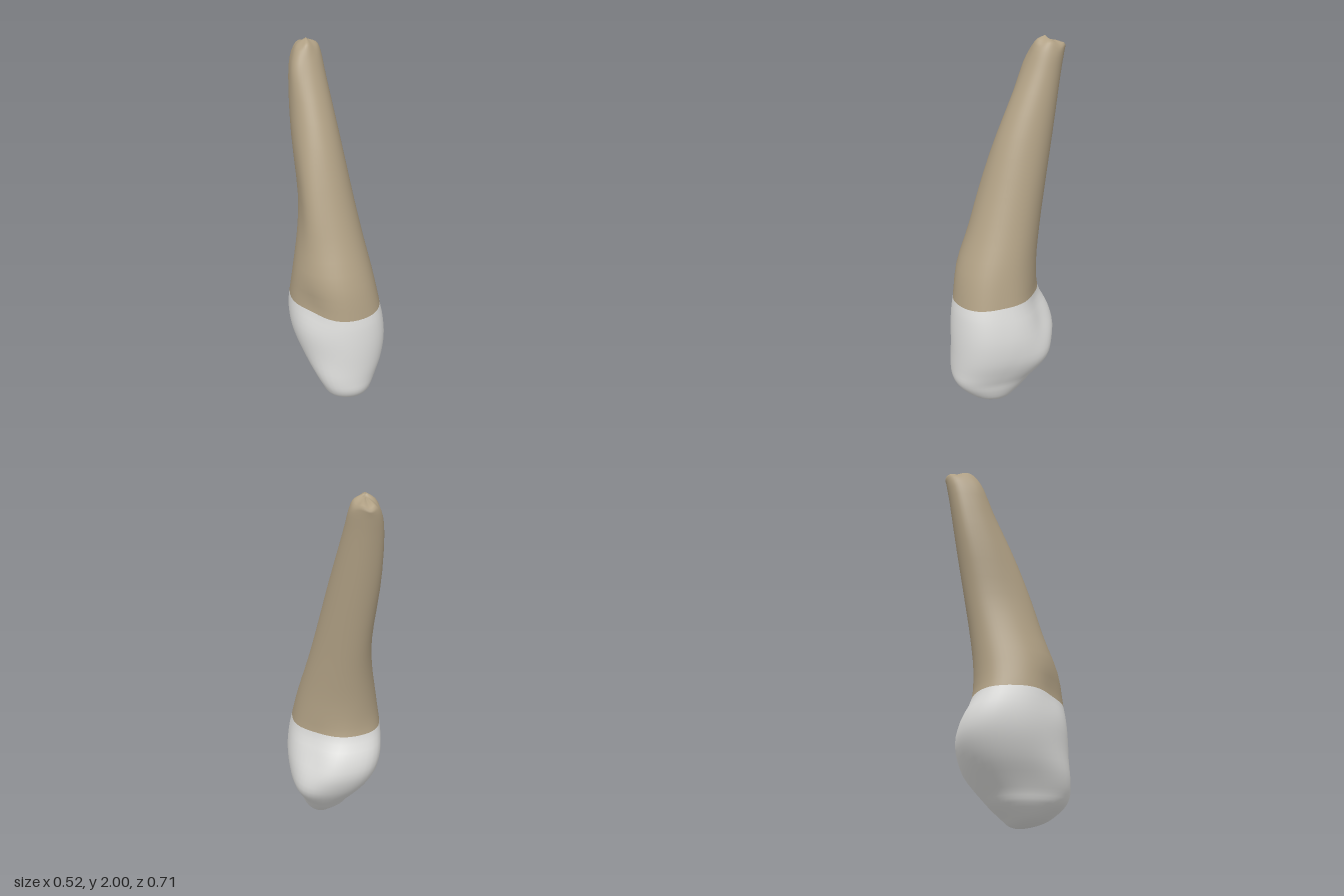
import * as THREE from 'three';

const SEG = 48, STEPS = 3, NECK = 9;

// Cross-sections from biting tip to root apex:
// y, right x, left x, back z, front z, x of the front ridge, x of the back ridge
const RINGS = [
  [0.0, 0.055, 0.07, 0.085, 0.11, 0.06, 0.06],
  [0.015, 0.01, 0.12, 0.05, 0.18, 0.06, 0.07],
  [0.045, -0.04, 0.158, 0.015, 0.255, 0.06, 0.07],
  [0.1, -0.09, 0.182, -0.05, 0.322, 0.05, 0.06],
  [0.15, -0.11, 0.195, -0.095, 0.349, 0.05, 0.06],
  [0.21, -0.142, 0.22, -0.145, 0.352, 0.045, 0.05],
  [0.3, -0.195, 0.25, -0.205, 0.352, 0.04, 0.04],
  [0.41, -0.24, 0.26, -0.24, 0.352, 0.03, 0.03],
  [0.52, -0.26, 0.25, -0.222, 0.347, 0.02, 0.0],
  [0.635, -0.257, 0.228, -0.17, 0.335, 0.01, -0.04],
  [0.8, -0.235, 0.195, -0.163, 0.3, -0.01, -0.06],
  [1.0, -0.2, 0.15, -0.185, 0.217, -0.02, -0.06],
  [1.2, -0.183, 0.11, -0.22, 0.143, -0.04, -0.07],
  [1.5, -0.198, 0.055, -0.275, 0.034, -0.07, -0.09],
  [1.8, -0.195, 0.0, -0.327, -0.107, -0.1, -0.11],
  [1.92, -0.172, -0.02, -0.349, -0.163, -0.1, -0.11],
  [1.967, -0.14, -0.045, -0.345, -0.195, -0.1, -0.1],
  [1.988, -0.105, -0.095, -0.25, -0.24, -0.1, -0.1],
];

// Hollows (positive) and bulges (negative):
// angle (0 = left, 90 = front), y, angular width, height, depth
const RELIEF = [
  [135, 0.2, 28, 0.14, -0.035],
  [140, 0.66, 28, 0.12, 0.035],
  [132, 1.2, 24, 0.28, -0.025],
  [135, 1.87, 25, 0.12, -0.018],
  [225, 1.6, 25, 0.25, -0.012],
  [225, 0.45, 24, 0.22, -0.037],
  [313, 0.5, 26, 0.15, 0.04],
  [315, 0.27, 26, 0.11, -0.03],
];

const bell = (d, w) => Math.exp(-(d * d) / (w * w));

function sectionPoint([y, x0, x1, zb, zf, fx, bx], angle) {
  const c = Math.cos(angle), s = Math.sin(angle);
  const mx = (x0 + x1) / 2, mz = (zb + zf) / 2;
  let dx = c * (x1 - x0) / 2 + ((s > 0 ? fx : bx) - mx) * s * s;
  let dz = s * (zf - zb) / 2;
  // Fuller front left corner around the neck
  if (c > 0 && s > 0) dx *= 1 + 0.35 * bell(y - 0.5, 0.3) * s * s * c;
  const fade = THREE.MathUtils.smoothstep(y, 0, 0.1);
  for (const [a, ry, wa, wy, depth] of RELIEF) {
    const diff = THREE.MathUtils.radToDeg(angle) - a;
    const pull = fade * depth * bell(diff, wa) * bell(y - ry, wy);
    dx -= pull * c;
    dz -= pull * s;
  }
  // Wavy neck line, tilted and slightly ragged apex
  const neck = bell(y - 0.635, 0.08) * (0.006 * Math.sin(2 * angle + 2) - 0.008 * s - 0.006 * c);
  const rim = bell(y - 1.955, 0.025) * 0.006 * Math.sin(5 * angle);
  const tilt = THREE.MathUtils.smoothstep(y, 1.9, 1.96) * 0.012 * s;
  return [mx + dx, Math.max(0, y + neck + rim + tilt), mz + dz];
}

// Smooth curve through the ring values
function ringAt(t) {
  const i = Math.min(Math.floor(t), RINGS.length - 2), f = t - i;
  const at = k => RINGS[THREE.MathUtils.clamp(k, 0, RINGS.length - 1)];
  return at(i).map((b, k) => {
    const a = at(i - 1)[k], c = at(i + 1)[k], d = at(i + 2)[k];
    return b + 0.5 * f * (c - a + f * (2 * a - 5 * b + 4 * c - d + f * (3 * (b - c) + d - a)));
  });
}

export function createModel() {
  const rows = (RINGS.length - 1) * STEPS;
  const positions = [];
  for (let i = 0; i <= rows; i++) {
    const ring = ringAt(i / STEPS);
    for (let j = 0; j < SEG; j++) positions.push(...sectionPoint(ring, j / SEG * Math.PI * 2));
  }

  const band = (from, to) => {
    const index = [];
    for (let i = from; i < to; i++) {
      for (let j = 0; j < SEG; j++) {
        const a = i * SEG + j, b = i * SEG + (j + 1) % SEG;
        index.push(a, a + SEG, b, b, a + SEG, b + SEG);
      }
    }
    // Close the bottom tip
    if (from === 0) for (let j = 1; j < SEG - 1; j++) index.push(0, j, j + 1);
    // Close the apex
    if (to === rows) for (let j = 1; j < SEG - 1; j++) index.push(to * SEG, to * SEG + j + 1, to * SEG + j);
    return index;
  };

  // Normals are shared, so the surface stays smooth across the neck
  const whole = new THREE.BufferGeometry();
  whole.setAttribute('position', new THREE.Float32BufferAttribute(positions, 3));
  whole.setIndex(band(0, rows));
  whole.computeVertexNormals();

  const enamel = new THREE.MeshStandardMaterial({ color: 0xdfdfdd });
  enamel.name = 'enamel white';
  const dentine = new THREE.MeshStandardMaterial({ color: 0xb0a084 });
  dentine.name = 'root tan';

  const group = new THREE.Group();
  group.name = 'tooth';
  const addPart = (name, from, to, material) => {
    const geometry = whole.clone();
    geometry.setIndex(band(from, to));
    const mesh = new THREE.Mesh(geometry, material);
    mesh.name = name;
    group.add(mesh);
  };
  addPart('crown', 0, NECK * STEPS, enamel);
  addPart('root', NECK * STEPS, rows, dentine);
  return group;
}
